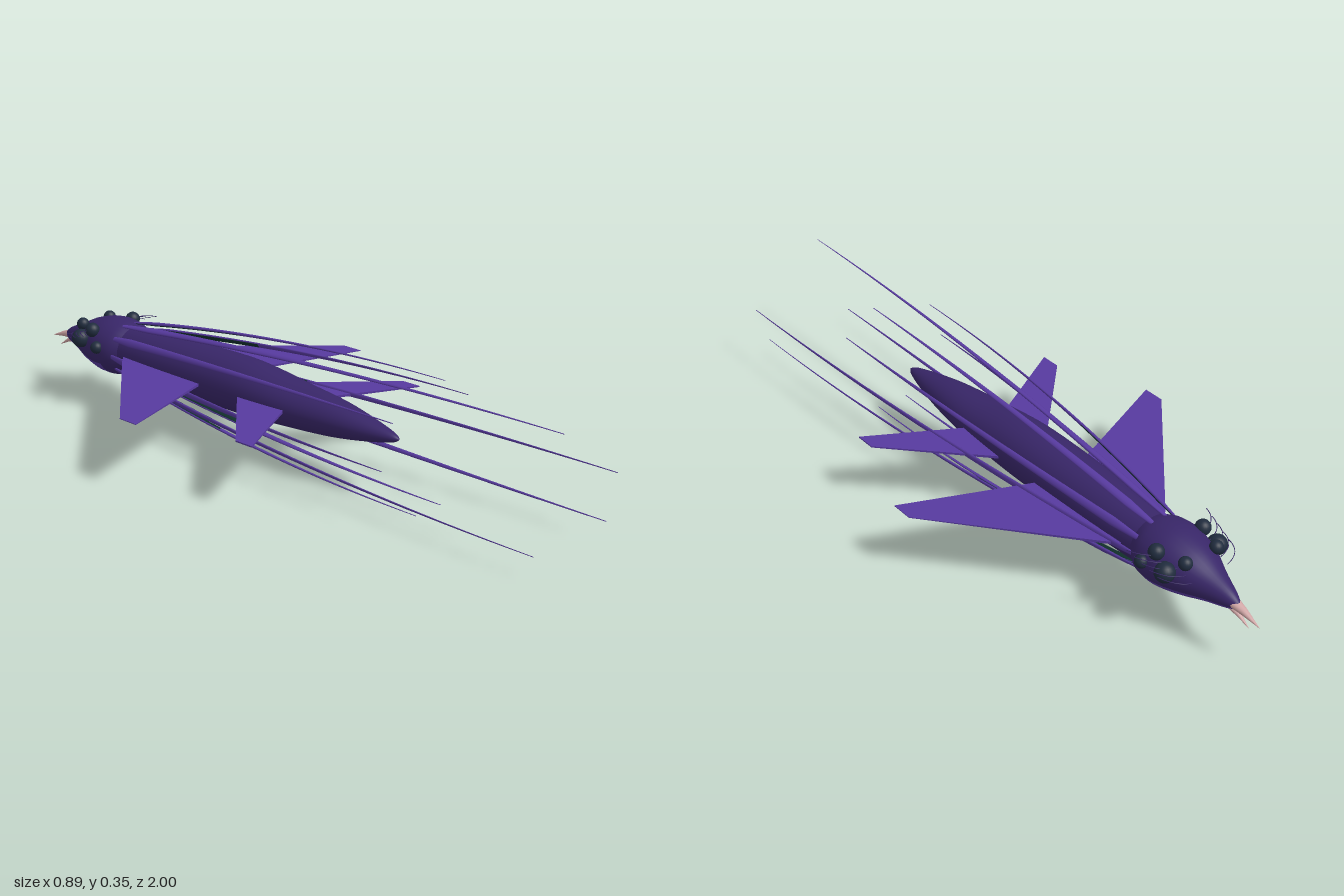
import * as THREE from 'three';

const mat = (name, color) => {
  const m = new THREE.MeshStandardMaterial({ color });
  m.name = name;
  return m;
};

// Smooth skin over elliptical rings {x, y, z, rx, ry, rot}, ordered by rising z.
// second(i, a) picks the faces that take the second material.
function loft(rings, sides, second = () => false) {
  const pos = [], parts = [[], []], n = sides;
  for (const { x = 0, y, z, rx, ry, rot = 0 } of rings) {
    for (let j = 0; j < n; j++) {
      const a = (j / n) * Math.PI * 2, u = rx * Math.cos(a), v = ry * Math.sin(a);
      pos.push(x + u * Math.cos(rot) - v * Math.sin(rot), y + u * Math.sin(rot) + v * Math.cos(rot), z);
    }
  }
  for (let i = 0; i < rings.length - 1; i++) {
    for (let j = 0; j < n; j++) {
      const k = (j + 1) % n, a = i * n + j, b = i * n + k, c = a + n, d = b + n;
      parts[second(i, ((j + 0.5) / n) * Math.PI * 2) ? 1 : 0].push(a, b, c, b, d, c);
    }
  }
  const g = new THREE.BufferGeometry();
  g.setAttribute('position', new THREE.Float32BufferAttribute(pos, 3));
  g.setIndex([...parts[0], ...parts[1]]);
  g.addGroup(0, parts[0].length, 0);
  g.addGroup(parts[0].length, parts[1].length, 1);
  g.computeVertexNormals();
  return g;
}

// Resamples a few [z, y, rx, ry] sections along a smooth curve.
function smoothRings(sections, steps) {
  const curve = (i) => new THREE.SplineCurve(sections.map((s) => new THREE.Vector2(s[0], s[i])));
  const [cy, cx, cr] = [curve(1), curve(2), curve(3)];
  return Array.from({ length: steps + 1 }, (_, i) => {
    const t = i / steps, p = cy.getPoint(t);
    return { z: p.x, y: p.y, rx: Math.max(cx.getPoint(t).y, 0.0005), ry: Math.max(cr.getPoint(t).y, 0.0005) };
  });
}

export function createModel() {
  const dark = mat('dark violet', 0x382668);
  const violet = mat('bright violet', 0x573a9f);
  const green = mat('deep green', 0x12302c);
  const slate = mat('slate', 0x202c3e);
  const pink = mat('pale pink', 0xcfa5a5);

  const model = new THREE.Group();
  const add = (name, geometry, material, parent = model) => {
    const m = new THREE.Mesh(geometry, material);
    m.name = name;
    parent.add(m);
    return m;
  };

  // Long spindle body
  add('body', loft(smoothRings([
    [-0.66, 0.18, 0.07, 0.07], [-0.5, 0.182, 0.08, 0.076], [-0.3, 0.184, 0.085, 0.08],
    [-0.1, 0.184, 0.086, 0.08], [0.08, 0.178, 0.077, 0.064], [0.22, 0.176, 0.06, 0.052],
    [0.33, 0.174, 0.04, 0.034], [0.42, 0.173, 0.016, 0.014], [0.445, 0.173, 0, 0],
  ], 48), 28), [dark, dark]);

  // Head with a paler throat
  add('head', loft(smoothRings([
    [-0.93, 0.165, 0.006, 0.006], [-0.9, 0.168, 0.022, 0.024], [-0.84, 0.174, 0.046, 0.044],
    [-0.77, 0.18, 0.078, 0.07], [-0.7, 0.181, 0.096, 0.086], [-0.64, 0.181, 0.092, 0.083],
    [-0.6, 0.181, 0.07, 0.068],
  ], 32), 28, (i, a) => i < 24 && a > Math.PI * 1.17 && a < Math.PI * 1.83), [dark, violet]);

  // Open beak
  const beakTip = (name, z, y, endZ, endY, r) => add(name, loft([
    { z: endZ, y: endY, rx: 0.0004, ry: 0.0004 },
    { z: (z + endZ) / 2, y: (y + endY) / 2 + 0.003, rx: r * 0.55, ry: r * 0.45 },
    { z, y, rx: r, ry: r * 0.8 },
  ], 12), [pink, pink]);
  beakTip('upperBeak', -0.89, 0.17, -1, 0.143, 0.02);
  beakTip('lowerBeak', -0.89, 0.157, -0.965, 0.12, 0.014);

  // Streaming quills: angle from straight up, tip radius, tip z
  const quills = [
    [17, 0.178, 0.55], [-17, 0.178, 1], [55, 0.185, 0.55], [-55, 0.185, 0.55], [89, 0.187, 1],
    [-94, 0.19, 0.55], [128, 0.19, 1], [-128, 0.19, 1], [164, 0.184, 0.55], [-164, 0.184, 0.55],
  ];
  for (const [deg, reach, end] of quills) {
    const th = THREE.MathUtils.degToRad(deg), steps = 24, rings = [];
    for (let i = 0; i <= steps; i++) {
      const t = i / steps, r = 0.078 + (reach - 0.078) * (1 - (1 - t) ** 2);
      const w = (1 - t) * Math.min(1, 0.4 + i * 0.3);
      rings.push({
        x: Math.sin(th) * r, y: 0.18 + Math.cos(th) * r, z: -0.64 + (end + 0.64) * t,
        rx: 0.001 + 0.0125 * w, ry: 0.0008 + 0.006 * w, rot: -th,
      });
    }
    add('quill', loft(rings, 10, (i, a) => i < 9 && a > Math.PI * 1.2 && a < Math.PI * 1.8), [violet, green]);
  }

  // Swept wings, thinning toward the tips; outline as [x, z]
  const wing = (name, outline, side, rise) => {
    const shape = new THREE.Shape(outline.map(([x, z]) => new THREE.Vector2(side * x, -z)));
    const g = new THREE.ExtrudeGeometry(shape, { depth: 1, bevelEnabled: false });
    g.rotateX(-Math.PI / 2);
    const p = g.attributes.position;
    for (let i = 0; i < p.count; i++) {
      const x = Math.abs(p.getX(i));
      p.setY(i, 0.178 + rise * x + (p.getY(i) - 0.5) * (0.009 - 0.016 * x));
    }
    g.computeVertexNormals();
    add(name, g, violet);
  };

  // Eye cluster: x, y, z, radius
  const eyes = [
    [0.09, 0.207, -0.752, 0.028], [0.053, 0.237, -0.785, 0.019],
    [0.08, 0.24, -0.708, 0.022], [0.096, 0.196, -0.673, 0.019],
  ];

  for (const side of [1, -1]) {
    const label = side > 0 ? 'left' : 'right';
    wing(label + 'FrontWing', [[0.05, -0.6], [0.11, -0.54], [0.445, -0.16], [0.445, -0.095], [0.05, -0.25]], side, 0.033);
    wing(label + 'RearWing', [[0.04, -0.125], [0.085, -0.08], [0.333, 0.17], [0.333, 0.23], [0.04, 0.07]], side, 0.025);

    const cluster = new THREE.Group();
    cluster.name = label + 'Eyes';
    model.add(cluster);
    for (const [x, y, z, r] of eyes) {
      add('eye', new THREE.SphereGeometry(r, 20, 14), slate, cluster).position.set(side * x, y, z);
    }

    // Fine lashes curling back over the eyes
    for (let i = 0; i < 5; i++) {
      const z = -0.82 + i * 0.025, y = 0.2 + i * 0.008;
      const curve = new THREE.QuadraticBezierCurve3(
        new THREE.Vector3(side * 0.06, y, z),
        new THREE.Vector3(side * (0.11 + i * 0.003), y + 0.015, z),
        new THREE.Vector3(side * (0.122 + i * 0.004), y + 0.012, z + 0.06),
      );
      add('lash', new THREE.TubeGeometry(curve, 10, 0.0011, 5), dark, cluster);
    }
  }
  return model;
}
